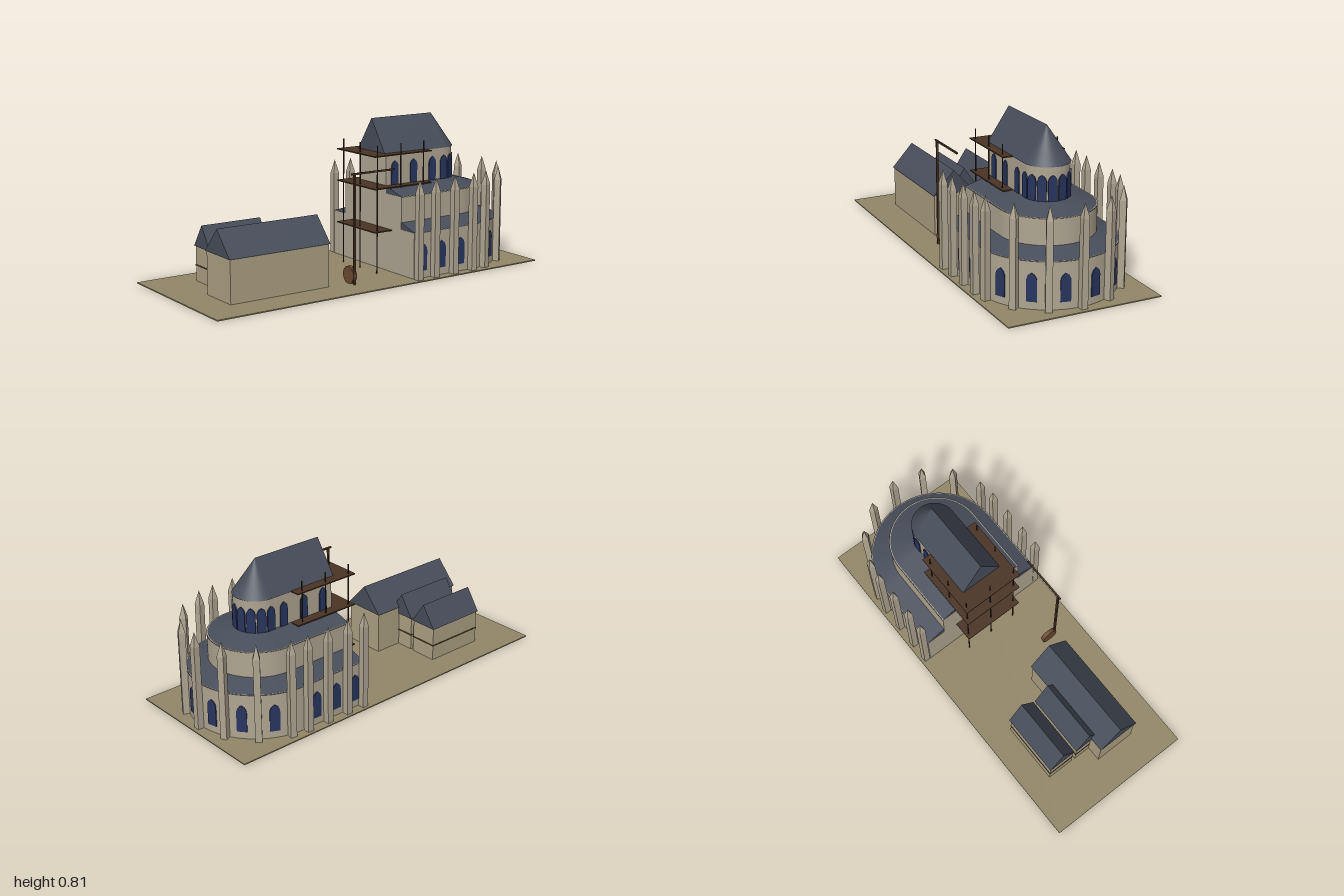
import * as THREE from 'three';
import { toCreasedNormals } from 'three/addons/utils/BufferGeometryUtils.js';

const mat = (color) => new THREE.MeshStandardMaterial({ color });
const GROUND = 0.006, FRONT = -0.195, APSE = -0.585;

export function createModel() {
  const model = new THREE.Group();
  const stone = mat(0xb0a692), plaster = mat(0xaea184), slate = mat(0x474d5a);
  const glass = mat(0x28355f), wood = mat(0x4a3424), pole = mat(0x30261e);
  const crane = mat(0x6b4a30), earth = mat(0x938768);

  const add = (name, geo, material, parent = model) => {
    const mesh = new THREE.Mesh(geo, material);
    mesh.name = name;
    parent.add(mesh);
    return mesh;
  };
  // Box given by its min and max on each axis
  const box = (name, x0, x1, y0, y1, z0, z1, material, parent) => {
    const m = add(name, new THREE.BoxGeometry(x1 - x0, y1 - y0, z1 - z0), material, parent);
    m.position.set((x0 + x1) / 2, (y0 + y1) / 2, (z0 + z1) / 2);
    return m;
  };
  // Front-facing outline extruded from z0 to z1
  const prism = (name, pts, z0, z1, material, parent) => {
    const shape = new THREE.Shape(pts.map(([x, y]) => new THREE.Vector2(x, y)));
    const m = add(name, new THREE.ExtrudeGeometry(shape, { depth: z1 - z0, bevelEnabled: false }), material, parent);
    m.position.z = z0;
    return m;
  };

  box('ground', -0.413, 0.413, 0, GROUND, -1, 1, earth);

  // Church: three stepped tiers, each a straight choir with a round apse
  const church = new THREE.Group();
  church.name = 'church';
  model.add(church);

  const tier = (name, r, y0, y1) => {
    const s = new THREE.Shape();
    s.moveTo(-r, -FRONT);
    s.lineTo(r, -FRONT);
    s.lineTo(r, -APSE);
    s.absarc(0, -APSE, r, 0, Math.PI, false);
    s.closePath();
    const g = new THREE.ExtrudeGeometry(s, { depth: y1 - y0, bevelEnabled: false, curveSegments: 32 });
    g.rotateX(-Math.PI / 2);
    add(name, toCreasedNormals(g, 0.6), stone, church).position.y = y0;
  };
  tier('aisleWall', 0.36, GROUND, 0.25);
  tier('galleryWall', 0.25, 0.25, 0.422);
  tier('clerestoryWall', 0.115, 0.422, 0.632);

  // Roof: straight sloped part plus half a cone over the apse
  const roof = (name, rOut, rIn, y0, y1, z1) => {
    const outline = [[-rOut, y0], [rOut, y0], [rIn, y1]];
    if (rIn > 0) outline.push([-rIn, y1]);
    prism(name, outline, APSE, z1, slate, church);
    const g = new THREE.CylinderGeometry(rIn, rOut, y1 - y0, 32, 1, false, Math.PI / 2, Math.PI);
    add(name + 'Apse', g, slate, church).position.set(0, (y0 + y1) / 2, APSE);
  };
  roof('aisleRoof', 0.363, 0.248, 0.248, 0.287, FRONT - 0.002);
  roof('galleryRoof', 0.252, 0.113, 0.42, 0.462, FRONT - 0.002);
  roof('mainRoof', 0.12, 0, 0.63, 0.808, -0.184);

  // Places an object on the wall line; angle is measured from straight back
  const onApse = (obj, r, a) => {
    obj.position.x = r * Math.sin(a);
    obj.position.z = APSE - r * Math.cos(a);
    obj.rotation.y = Math.PI - a;
  };
  const onSide = (obj, r, side, z) => {
    obj.position.x = side * r;
    obj.position.z = z;
    obj.rotation.y = side * Math.PI / 2;
  };

  // Pointed windows
  const lancet = (w, h) => {
    const s = new THREE.Shape();
    const spring = h - w * 0.8;
    s.moveTo(-w / 2, 0);
    s.lineTo(w / 2, 0);
    s.lineTo(w / 2, spring);
    s.quadraticCurveTo(w / 2, h - w * 0.25, 0, h);
    s.quadraticCurveTo(-w / 2, h - w * 0.25, -w / 2, spring);
    const g = new THREE.ExtrudeGeometry(s, { depth: 0.008, bevelEnabled: false, curveSegments: 6 });
    return g.translate(0, 0, -0.004);
  };
  const step = Math.PI / 7;
  const windows = (name, r, y, geo, angles) => {
    const make = () => {
      const m = add(name, geo, glass, church);
      m.position.y = y;
      return m;
    };
    for (const side of [-1, 1]) {
      for (const z of [-0.253, -0.378, -0.506]) onSide(make(), r, side, z);
      for (const k of angles) onApse(make(), r, side * k * step);
    }
  };
  windows('aisleWindow', 0.36, 0.045, lancet(0.052, 0.145), [0.5, 1.5, 2.5]);
  windows('clerestoryWindow', 0.116, 0.455, lancet(0.046, 0.135), [0.5, 1.5, 2.5, 3.5]);

  // Buttress piers with pointed pinnacles
  const pierW = 0.034, pierTop = 0.457;
  const pinnacleGeo = new THREE.ConeGeometry(pierW / Math.SQRT2, 0.075, 4).toNonIndexed();
  pinnacleGeo.rotateY(Math.PI / 4);
  pinnacleGeo.computeVertexNormals();
  const buttress = () => {
    const g = new THREE.Group();
    g.name = 'buttress';
    box('pier', -pierW / 2, pierW / 2, GROUND, pierTop, -pierW / 2, pierW / 2, stone, g);
    add('pinnacle', pinnacleGeo, stone, g).position.y = pierTop + 0.0375;
    church.add(g);
    return g;
  };
  for (const side of [-1, 1]) {
    for (const z of [-0.213, -0.32, -0.447, -0.574]) onSide(buttress(), 0.38, side, z);
    for (const k of [1, 2, 3]) onApse(buttress(), 0.377, side * k * step);
  }
  onApse(buttress(), 0.377, 0);

  // Scaffold around the front of the choir
  const scaffold = new THREE.Group();
  scaffold.name = 'scaffold';
  model.add(scaffold);
  for (const y of [0.231, 0.46, 0.631]) {
    box('frontDeck', -0.171, 0.171, y - 0.003, y + 0.003, FRONT + 0.001, -0.083, wood, scaffold);
    if (y < 0.4) continue;
    for (const s of [-1, 1]) {
      const d = box('sideDeck', -0.026, 0.026, y - 0.003, y + 0.003, -0.46, FRONT + 0.001, wood, scaffold);
      d.position.x = s * 0.145;
    }
  }
  const addPole = (x, z, y0) => {
    const g = new THREE.CylinderGeometry(0.0035, 0.0035, 0.686 - y0, 8);
    add('scaffoldPole', g, pole, scaffold).position.set(x, (0.686 + y0) / 2, z);
  };
  for (const x of [-0.152, 0, 0.152]) addPole(x, -0.112, GROUND);
  for (const x of [-0.152, 0.152]) for (const z of [-0.265, -0.417]) addPole(x, z, 0.43);

  // Hoisting crane with a treadwheel
  const hoist = new THREE.Group();
  hoist.name = 'crane';
  model.add(hoist);
  box('craneMast', 0.26, 0.271, GROUND, 0.575, 0.11, 0.121, wood, hoist);
  box('craneJib', 0.261, 0.27, 0.573, 0.582, -0.135, 0.135, wood, hoist);
  const wheelGeo = new THREE.CylinderGeometry(0.046, 0.046, 0.022, 20).rotateX(Math.PI / 2);
  add('treadwheel', wheelGeo, crane, hoist).position.set(0.226, 0.05, 0.115);

  // Gabled houses in front of the church
  const house = (name, x0, x1, z0, z1, eave, ridge, band) => {
    const g = new THREE.Group();
    g.name = name;
    model.add(g);
    box('houseWall', x0, x1, GROUND, eave, z0, z1, plaster, g);
    const e = 0.006;
    prism('houseRoof', [[x0 - e, eave], [x1 + e, eave], [(x0 + x1) / 2, ridge]], z0 - e, z1 + e, slate, g);
    if (band) box('timberBand', x0 - 0.002, x1 + 0.002, 0.087, 0.094, z0 - 0.002, z1 + 0.002, wood, g);
  };
  house('largeHouse', 0.001, 0.228, 0.247, 0.82, 0.23, 0.361, false);
  house('leftHouse', -0.266, -0.116, 0.4, 0.735, 0.191, 0.311, true);
  house('middleHouse', -0.095, 0.055, 0.402, 0.738, 0.191, 0.311, true);

  return model;
}
